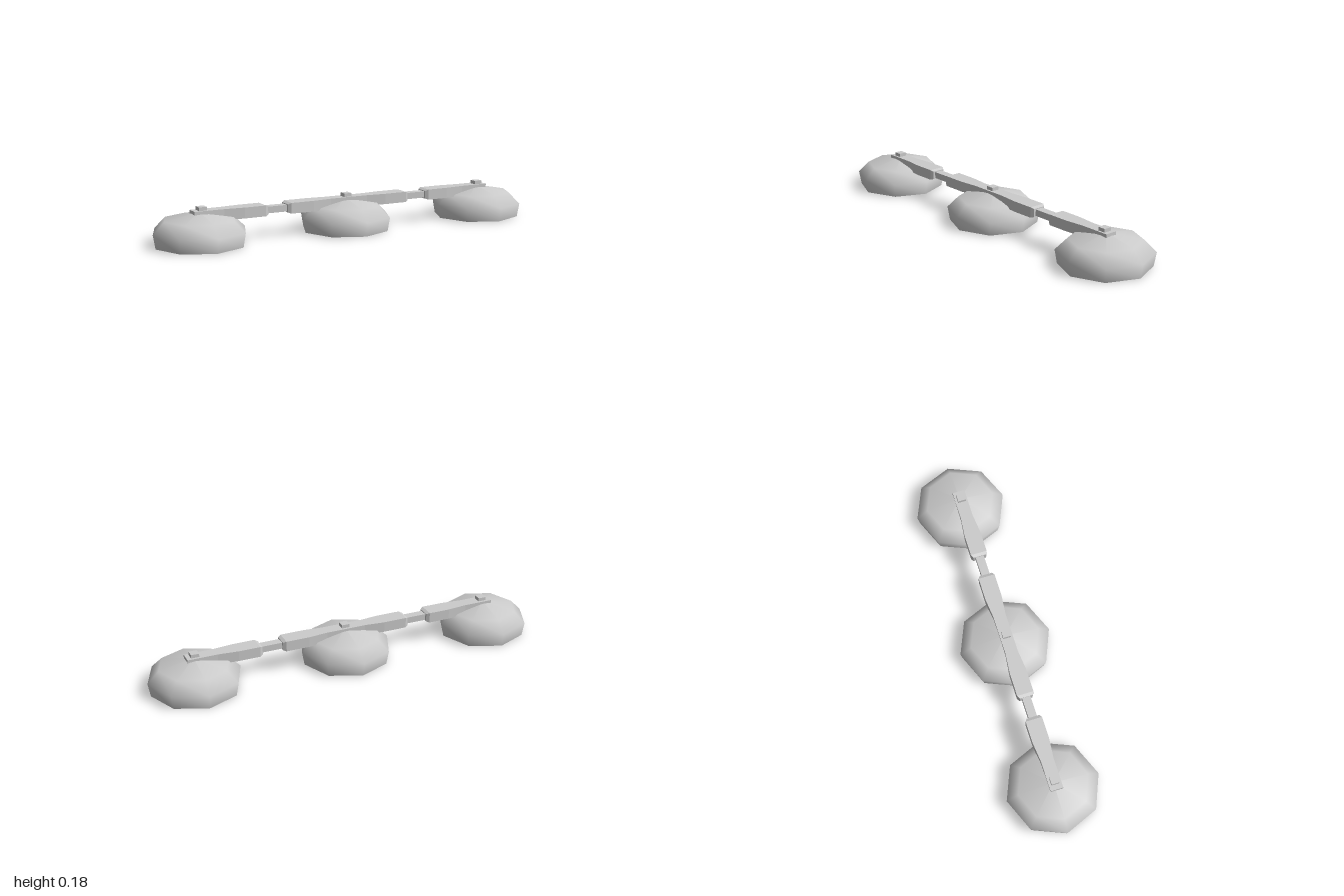
import * as THREE from 'three';

const grey = new THREE.MeshStandardMaterial({ color: 0xcccccc, side: THREE.DoubleSide });
const flatGrey = new THREE.MeshStandardMaterial({ color: 0xcccccc, flatShading: true });

function addMesh(parent, name, geometry, material, x = 0, y = 0, z = 0) {
  const mesh = new THREE.Mesh(geometry, material);
  mesh.name = name;
  mesh.position.set(x, y, z);
  parent.add(mesh);
}

// Skins rectangular sections [x, half depth, bottom, top] along x and caps both ends
function loftBar(sections) {
  const positions = [];
  const rings = sections.map(([x, d, y0, y1]) => [[x, y0, d], [x, y0, -d], [x, y1, -d], [x, y1, d]]);
  const quad = (a, b, c, d) => positions.push(...a, ...b, ...c, ...a, ...c, ...d);
  for (let i = 0; i < rings.length - 1; i++) {
    const p = rings[i], q = rings[i + 1];
    for (let k = 0; k < 4; k++) {
      const n = (k + 1) % 4;
      quad(p[k], p[n], q[n], q[k]);
    }
  }
  const [first, last] = [rings[0], rings[rings.length - 1]];
  quad(first[3], first[2], first[1], first[0]);
  quad(last[0], last[1], last[2], last[3]);
  const geometry = new THREE.BufferGeometry();
  geometry.setAttribute('position', new THREE.Float32BufferAttribute(positions, 3));
  geometry.computeVertexNormals();
  return geometry;
}

export function createModel() {
  const model = new THREE.Group();
  model.name = 'tripleDomeBar';
  const barZ = 0.005;

  // Open eight-sided domes
  const profile = [[0.217, 0], [0.229, 0.067], [0.173, 0.123], [0, 0.157]].map(([r, y]) => new THREE.Vector2(r, y));
  const dome = new THREE.LatheGeometry(profile, 8);
  [-0.771, -0.004, 0.771].forEach((x) => addMesh(model, 'dome', dome, grey, x));

  // Connecting bar: thick segments with chamfered ends, joined by thin necks
  const half = [
    [0.1, 0.031, 0.112, 0.164],
    [0.2, 0.041, 0.112, 0.164],
    [0.318, 0.041, 0.112, 0.164],
    [0.333, 0.032, 0.117, 0.157],
    [0.333, 0.021, 0.121, 0.153],
    [0.437, 0.021, 0.121, 0.153],
    [0.437, 0.032, 0.117, 0.157],
    [0.452, 0.041, 0.112, 0.164],
    [0.56, 0.041, 0.112, 0.164],
    [0.66, 0.031, 0.112, 0.164],
    [0.808, 0.031, 0.112, 0.164],
  ];
  const mirrored = half.map(([x, ...rest]) => [-x, ...rest]).reverse();
  addMesh(model, 'connectingBar', loftBar([...mirrored, ...half]), flatGrey, 0, 0, barZ);

  // Square knobs on top of the bar
  const knob = new THREE.BoxGeometry(0.04, 0.03, 0.04);
  [-0.763, -0.002, 0.767].forEach((x) => addMesh(model, 'knob', knob, flatGrey, x, 0.166, barZ + 0.001));

  return model;
}
